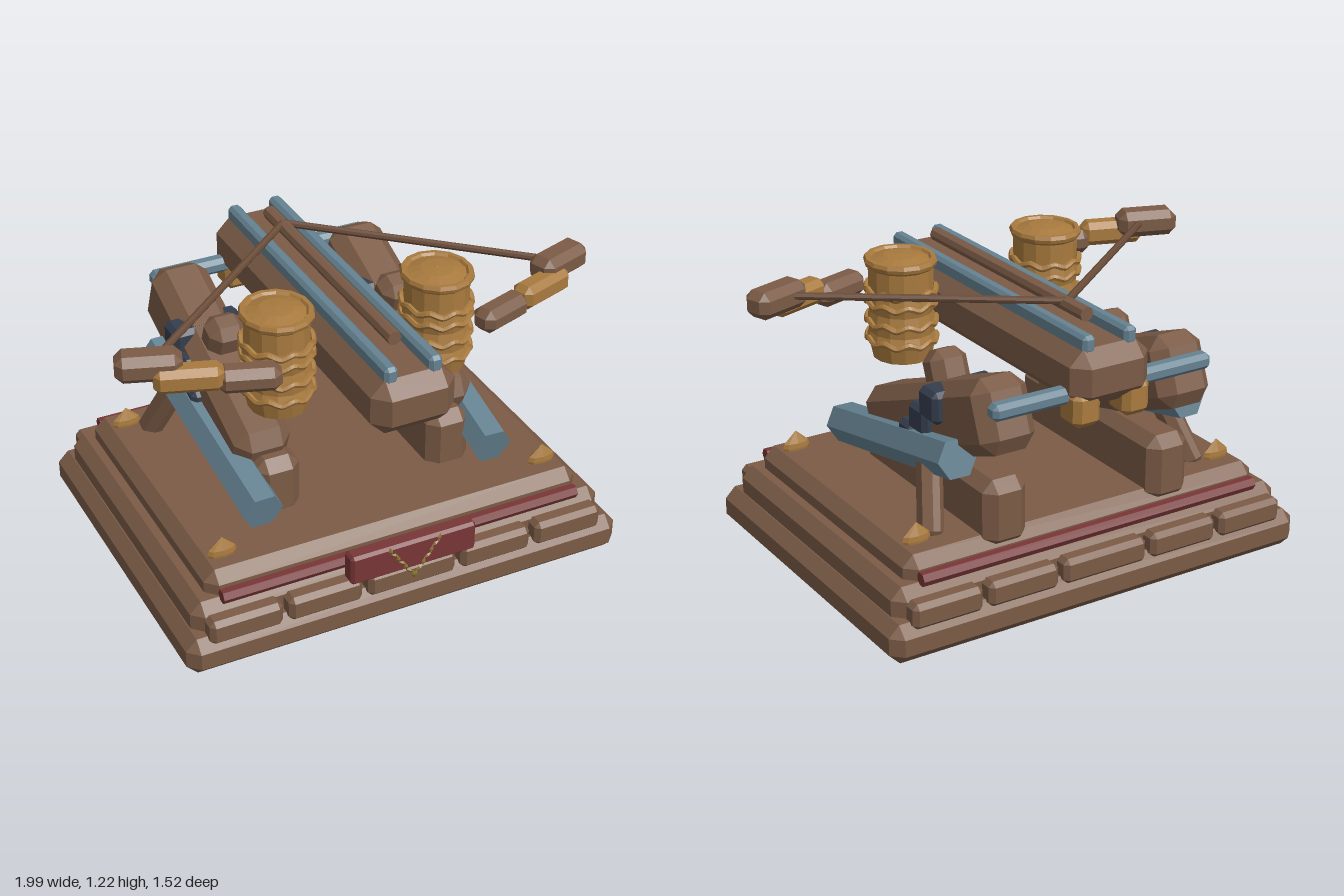
import * as THREE from 'three';
import { ConvexGeometry } from 'three/addons/geometries/ConvexGeometry.js';

const mat = (name, color) => {
  const m = new THREE.MeshStandardMaterial({ color, flatShading: true });
  m.name = name;
  return m;
};

// Box with every edge and corner cut at 45 degrees
function chamferBox(w, h, d, c) {
  const pts = [];
  const [x, y, z] = [w / 2, h / 2, d / 2];
  for (const i of [-1, 1]) for (const j of [-1, 1]) for (const k of [-1, 1]) {
    pts.push(new THREE.Vector3(i * x, j * (y - c), k * (z - c)));
    pts.push(new THREE.Vector3(i * (x - c), j * y, k * (z - c)));
    pts.push(new THREE.Vector3(i * (x - c), j * (y - c), k * z));
  }
  return new ConvexGeometry(pts);
}

export function createModel() {
  const wood = mat('wood', 0x7b5b46);
  const cord = mat('cord', 0x694b38);
  const brass = mat('brass', 0xa87a3e);
  const steel = mat('steel', 0x658291);
  const iron = mat('iron', 0x343e4e);
  const red = mat('redPaint', 0x783535);
  const gilt = mat('gilt', 0x8c7436);
  const root = new THREE.Group();

  const add = (name, geo, material, pos = [0, 0, 0], rot = [0, 0, 0]) => {
    const m = new THREE.Mesh(geo, material);
    m.name = name;
    m.position.set(...pos);
    m.rotation.set(...rot);
    root.add(m);
    return m;
  };
  const box = (name, material, size, c, pos, rot) =>
    add(name, chamferBox(...size, c), material, pos, rot);
  // Prism whose long axis runs between two points
  const rod = (name, material, a, b, r, sides) => {
    const A = new THREE.Vector3(...a), B = new THREE.Vector3(...b);
    const m = add(name, new THREE.CylinderGeometry(r, r, A.distanceTo(B), sides), material);
    m.position.copy(A).add(B).multiplyScalar(0.5);
    m.quaternion.setFromUnitVectors(new THREE.Vector3(0, 1, 0), B.sub(A).normalize());
    return m;
  };

  // Stepped base
  box('baseLower', wood, [1.88, 0.16, 1.47], 0.045, [0, 0.08, 0.015]);
  box('baseMiddle', wood, [1.78, 0.16, 1.33], 0.045, [0, 0.19, 0.015]);
  box('baseUpper', wood, [1.62, 0.18, 1.23], 0.045, [0, 0.27, 0.015]);

  // Bricks and red trim on front and back
  for (const [z, zBar] of [[0.703, 0.66], [-0.673, -0.62]]) {
    for (const [x, w] of [[-0.7, 0.3], [-0.37, 0.31], [0, 0.38], [0.37, 0.31], [0.7, 0.3]])
      box('baseBrick', wood, [w, 0.105, 0.085], 0.02, [x, 0.183, z]);
    add('trimBar', new THREE.CylinderGeometry(0.029, 0.029, 1.54, 6), red, [0, 0.287, zBar], [0, 0, Math.PI / 2]);
  }
  box('frontPlaque', red, [0.54, 0.13, 0.07], 0.012, [0, 0.285, 0.713]);

  // Braided chevron ornament on the plaque
  for (const s of [-1, 1]) for (let i = 0; i < 7; i++) {
    const t = i / 6;
    const leaf = add('chevronLeaf', new THREE.OctahedronGeometry(0.022), gilt,
      [s * (0.005 + 0.1 * t), 0.195 + 0.14 * t, 0.75], [0, 0, -s * (0.6 + (i % 2 ? 0.45 : -0.35))]);
    leaf.scale.set(0.4, 1, 0.35);
  }

  // Corner studs
  for (const x of [-0.7, 0.7]) for (const z of [0.51, -0.47]) {
    const stud = add('cornerStud', new THREE.LatheGeometry([
      [0.045, -0.03], [0.06, 0.015], [0.055, 0.035], [0.001, 0.085]
    ].map(p => new THREE.Vector2(...p)), 8), brass, [x, 0.355, z]);
    stud.scale.z = 0.38;
  }

  // Central slide with its rails and bolt
  box('slide', wood, [0.35, 0.23, 1.515], 0.06, [0, 0.965, 0]);
  for (const s of [-1, 1]) {
    box('slideRail', steel, [0.055, 0.07, 1.42], 0.014, [s * 0.092, 1.095, 0]);
    box('rearClamp', brass, [0.12, 0.14, 0.13], 0.025, [s * 0.11, 0.85, -0.675]);
  }
  add('bolt', new THREE.CylinderGeometry(0.029, 0.029, 1.1, 8), wood, [0, 1.147, 0], [Math.PI / 2, 0, 0]);
  box('rearCrossbar', steel, [0.98, 0.065, 0.07], 0.018, [0, 0.9, -0.655]);

  // Torsion drum profile, with four bulging bands
  const drumProfile = [
    [0.001, 0.79], [0.125, 0.79], [0.14, 0.855], [0.148, 0.87], [0.138, 0.9],
    [0.143, 0.95], [0.135, 0.985], [0.145, 1.03], [0.137, 1.07], [0.137, 1.165],
    [0.15, 1.175], [0.155, 1.19], [0.148, 1.205], [0.13, 1.205], [0.122, 1.195], [0.07, 1.21], [0.001, 1.215]
  ].map(p => new THREE.Vector2(...p));

  // Rope with a gently waving height
  const ropeBand = y => {
    const pts = [];
    for (let i = 0; i < 36; i++) {
      const a = i / 36 * Math.PI * 2;
      pts.push(new THREE.Vector3(Math.cos(a) * 0.145, y + 0.008 * Math.sin(a * 9), Math.sin(a) * 0.145));
    }
    return new THREE.TubeGeometry(new THREE.CatmullRomCurve3(pts, true), 72, 0.013, 6, true);
  };

  for (const s of [-1, 1]) {
    // Side footing and sloping beam
    box('sideFooting', wood, [0.19, 0.28, 0.96], 0.045, [s * 0.375, 0.44, -0.13]);
    box('slopingBeam', wood, [0.24, 0.29, 0.967], 0.055, [s * 0.4, 0.7, -0.2], [0.375, 0, 0]);
    box('beamPeg', wood, [0.16, 0.2, 0.14], 0.04, [s * 0.38, 0.86, -0.17], [0.375, 0, 0]);

    // Iron straps through the beam
    for (const [y, z, h, d] of [[0.815, -0.305, 0.13, 0.13], [0.73, -0.225, 0.12, 0.13], [0.66, -0.135, 0.06, 0.11]])
      box('ironStrap', iron, [0.31, h, d], 0.02, [s * 0.402, y, z]);

    // Steel brace: hexagonal with flat top and bottom
    const braceGeo = new THREE.CylinderGeometry(0.084, 0.084, 0.97, 6).rotateY(Math.PI / 2).rotateX(Math.PI / 2);
    add('steelBrace', braceGeo, steel, [s * 0.515, 0.56, -0.018], [0.218, -s * 0.03, 0]);

    // Leaning strut
    box('leaningStrut', wood, [0.09, 0.4, 0.11], 0.03, [s * 0.57, 0.5, -0.35], [0.47, 0, s * 0.25]);

    // Torsion drum
    const drum = new THREE.Group();
    drum.name = 'torsionDrum';
    drum.position.set(s * 0.34, 0, 0.25);
    drum.scale.x = 0.93;
    const body = new THREE.Mesh(new THREE.LatheGeometry(drumProfile, 14), brass);
    body.name = 'drumBody';
    drum.add(body);
    for (const y of [0.87, 0.945, 1.025, 1.075]) {
      const rope = new THREE.Mesh(ropeBand(y), brass);
      rope.name = 'drumRope';
      drum.add(rope);
    }
    root.add(drum);

    // Bow arm in three overlapping blocks
    const yaw = [0, s * 0.33, 0];
    box('armInner', wood, [0.24, 0.1, 0.11], 0.03, [s * 0.53, 1.055, 0.42], yaw);
    box('armMiddle', brass, [0.26, 0.1, 0.1], 0.025, [s * 0.745, 1.08, 0.36], yaw);
    box('armTip', wood, [0.25, 0.11, 0.125], 0.03, [s * 0.868, 1.123, 0.28], yaw);

    // Bowstring half
    rod('bowstring', cord, [s * 0.84, 1.13, 0.27], [0, 1.16, -0.42], 0.015, 8);
  }
  return root;
}
